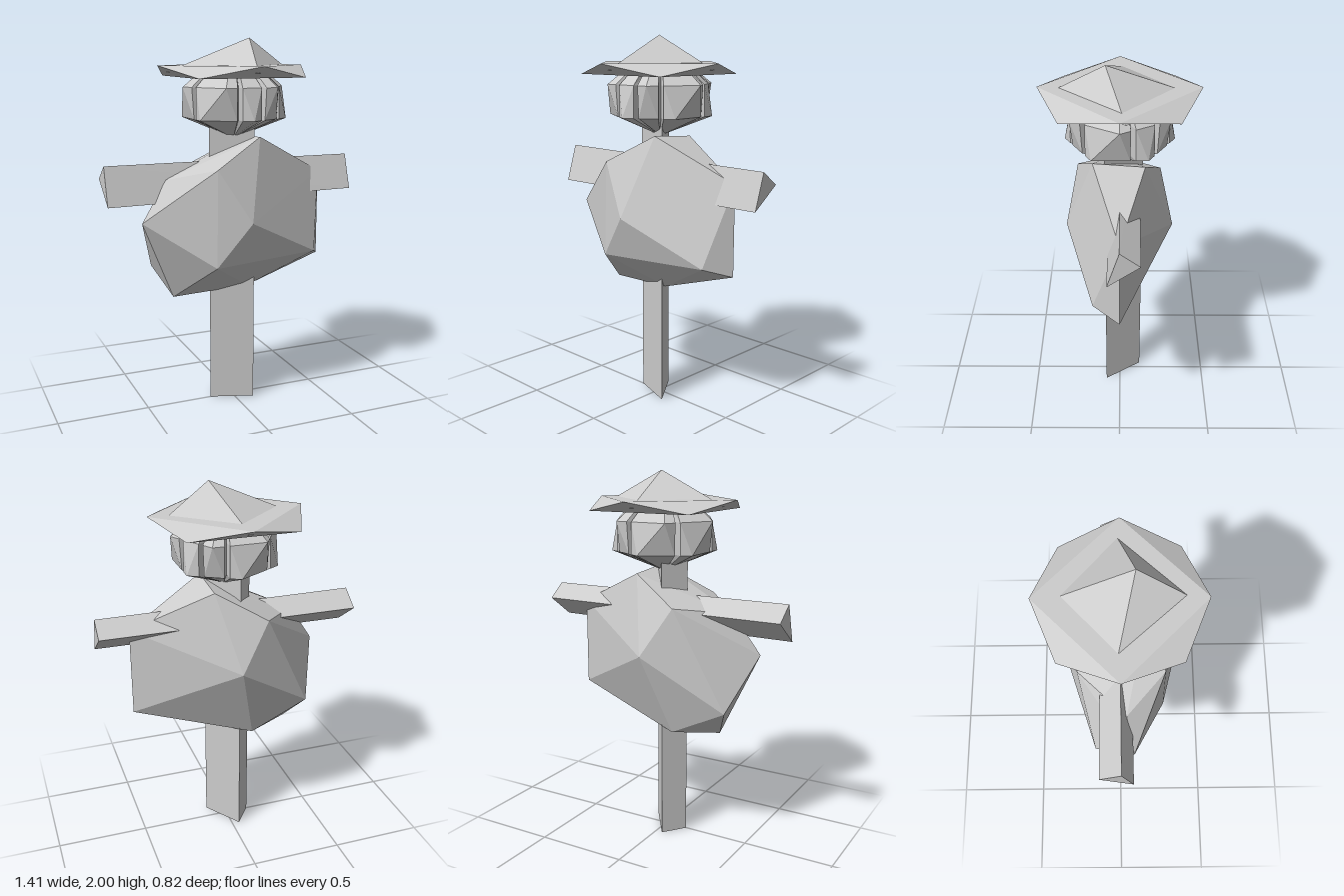
import * as THREE from 'three';
import { ConvexGeometry } from 'three/addons/geometries/ConvexGeometry.js';

const straw = new THREE.MeshStandardMaterial({ color: 0xcccccc });
straw.name = 'pale grey';

// Faceted solid spanned by a few corner points
function solid(name, corners) {
  const points = corners.map((c) => new THREE.Vector3(...c));
  const mesh = new THREE.Mesh(new ConvexGeometry(points), straw);
  mesh.name = name;
  return mesh;
}

// Six-sided sack head with narrow folds cut into its sides
function headGeometry() {
  const hex = (R, deg, phase) => {
    const off = ((((deg - phase) % 60) + 60) % 60) - 30;
    return R * Math.cos(Math.PI / 6) / Math.cos(THREE.MathUtils.degToRad(off));
  };
  const folds = [45, 75, 105, 165, 225, 285, 315, 345];
  const columns = [];
  for (let deg = 0; deg < 360; deg += 30) {
    columns.push({ deg, depth: 0 });
    const fold = deg + 15;
    if (folds.includes(fold)) {
      columns.push({ deg: fold - 3, depth: 0 }, { deg: fold, depth: 0.06 }, { deg: fold + 3, depth: 0 });
    }
  }
  // Each ring: radius, height, corner phase in degrees
  const rings = [[0, 1.82, 0], [0.21, 1.81, 0], [0.285, 1.75, 0], [0.28, 1.585, 30], [0, 1.475, 30]];
  const at = ([R, y, phase], { deg, depth }) => {
    const r = R ? hex(R, deg, phase) - depth : 0;
    const a = THREE.MathUtils.degToRad(deg);
    return [0.01 + r * Math.cos(a), y, r * Math.sin(a)];
  };
  const pos = [];
  for (let i = 0; i < rings.length - 1; i++) {
    columns.forEach((col, j) => {
      const next = columns[(j + 1) % columns.length];
      const a = at(rings[i], col), b = at(rings[i], next);
      const c = at(rings[i + 1], col), d = at(rings[i + 1], next);
      const even = Math.floor(col.deg / 30) % 2 === 0;
      const tris = rings[i][0] === 0 ? [a, d, c]
        : rings[i + 1][0] === 0 ? [a, b, c]
        : even ? [a, b, d, a, d, c] : [a, b, c, b, d, c];
      pos.push(...tris.flat());
    });
  }
  const g = new THREE.BufferGeometry();
  g.setAttribute('position', new THREE.Float32BufferAttribute(pos, 3));
  g.computeVertexNormals();
  return g;
}

export function createModel() {
  const model = new THREE.Group();
  model.name = 'scarecrow';

  // Three-sided post, running up through the body as the neck
  const postSection = [[-0.13, 0], [0.1, 0.08], [-0.04, -0.12]];
  model.add(solid('post', [0, 1.6].flatMap((y) => postSection.map(([x, z]) => [x, y, z]))));

  // Three-sided crossbar for the arms
  model.add(solid('arms', [
    [-0.705, 1.36, 0], [-0.705, 1.28, -0.11], [-0.705, 1.155, 0.063],
    [0.705, 1.355, 0], [0.705, 1.28, -0.1], [0.705, 1.165, 0.06],
  ]));

  // Lumpy stuffed body
  model.add(solid('body', [
    [0.105, 1.49, 0.14], [0.105, 1.47, -0.13],
    [-0.17, 1.34, 0.23], [-0.16, 1.32, -0.22], [-0.385, 1.275, 0.03],
    [-0.53, 1.06, 0.07], [0, 1.06, 0.29], [0, 1.06, -0.285],
    [0.53, 1.27, 0], [0.53, 0.79, 0], [0.44, 0.84, 0.14],
    [-0.18, 0.825, 0.24], [-0.425, 0.775, -0.14],
    [-0.34, 0.62, -0.01], [-0.11, 0.62, -0.13], [0.08, 0.65, 0.03],
  ]));

  const head = new THREE.Mesh(headGeometry(), straw);
  head.name = 'head';
  model.add(head);

  // Hat: square brim with drooping corners, and a leaning pointed crown
  const brim = [];
  for (let i = 0; i < 8; i++) {
    const a = (i * Math.PI) / 4;
    brim.push([0.41 * Math.cos(a), i % 2 ? 1.8 : 1.86, 0.41 * Math.sin(a)]);
  }
  const hat = new THREE.Group();
  hat.name = 'hat';
  hat.add(solid('brim', brim));
  hat.add(solid('crown', [
    [0.07, 2, 0.07],
    [-0.355, 1.825, -0.03], [0.36, 1.825, -0.03],
    [-0.005, 1.825, -0.355], [-0.005, 1.825, 0.36],
  ]));
  model.add(hat);

  return model;
}
